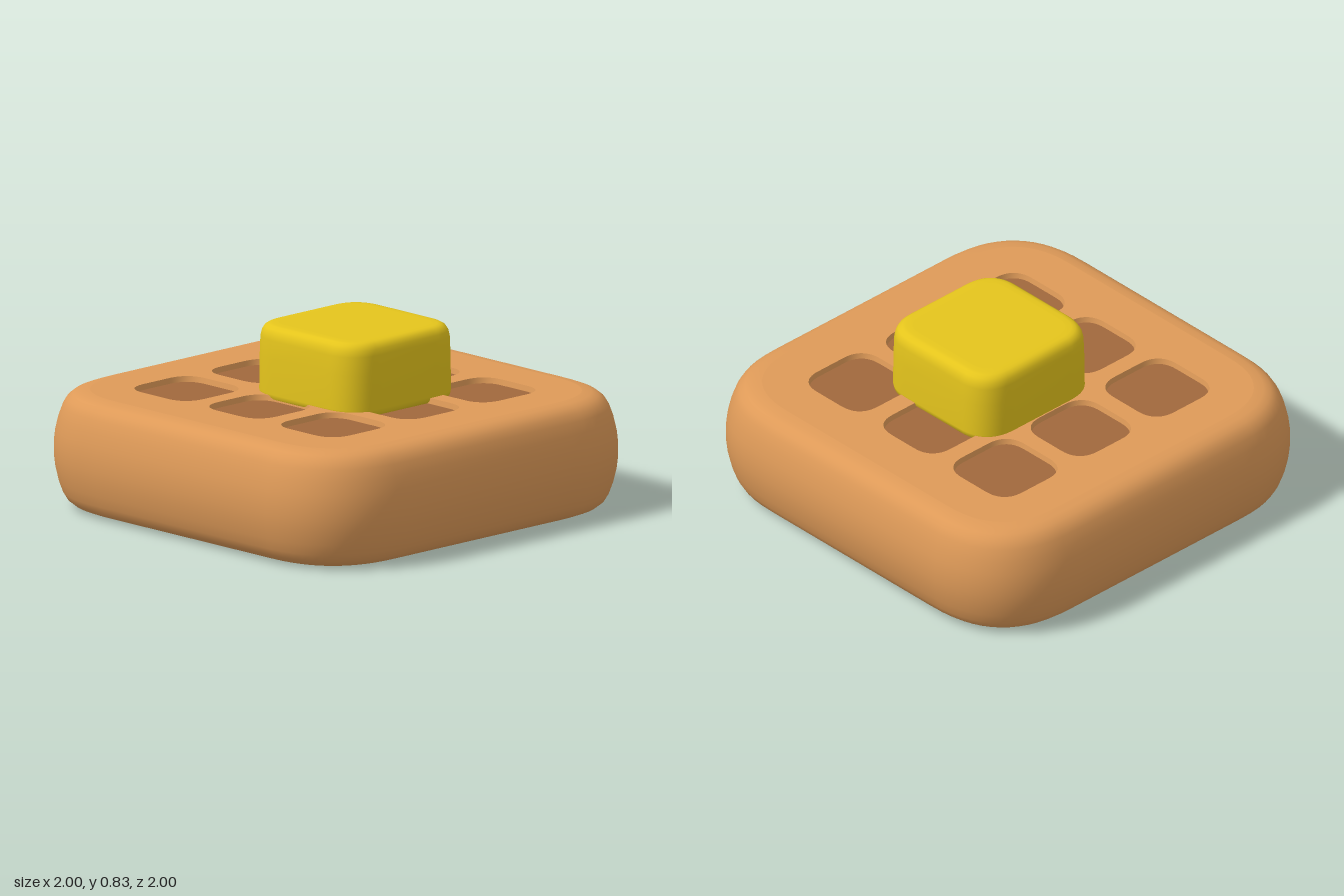
import * as THREE from 'three';

const BOTTOM = 0.008, TOP = 0.535, DEPTH = 0.025;
const mat = (name, color) => Object.assign(new THREE.MeshStandardMaterial({ color }), { name });

// Square outline with soft superellipse corners, counter-clockwise seen from above, in (x, -z)
function outline(half, r, cx = 0, cy = 0, n = 14) {
  const bend = (v) => Math.sign(v) * Math.pow(Math.abs(v), 0.8);
  const pts = [];
  for (let c = 0; c < 4; c++) {
    const sx = c === 0 || c === 3 ? 1 : -1, sy = c < 2 ? 1 : -1;
    for (let i = 0; i <= n; i++) {
      const a = (c + i / n) * Math.PI / 2;
      pts.push(new THREE.Vector2(
        cx + sx * (half - r) + r * bend(Math.cos(a)),
        cy + sy * (half - r) + r * bend(Math.sin(a))));
    }
  }
  return pts;
}

// Skin through rounded-square rings; profile rows are [inset, y]
function loft(half, r, profile, cx = 0, cy = 0) {
  const pos = [], index = [];
  profile.forEach(([inset, y], k) => {
    const ring = outline(half - inset, r - inset, cx, cy);
    const m = ring.length;
    ring.forEach((p, i) => {
      pos.push(p.x, y, -p.y);
      if (k === 0) return;
      const j = (i + 1) % m, lo = (k - 1) * m, hi = k * m;
      index.push(lo + i, lo + j, hi + j, lo + i, hi + j, hi + i);
    });
  });
  const g = new THREE.BufferGeometry();
  g.setAttribute('position', new THREE.Float32BufferAttribute(pos, 3));
  g.setIndex(index);
  g.computeVertexNormals();
  return g;
}

// Flat rounded-square face with optional holes, facing up or down
function face(half, r, cx, cz, y, up, holes = []) {
  const s = up ? -1 : 1;
  const shape = new THREE.Shape(outline(half, r, cx, s * cz));
  for (const h of holes) shape.holes.push(new THREE.Path(outline(h.half, h.r, h.x, s * h.z)));
  return new THREE.ShapeGeometry(shape).rotateX(s * Math.PI / 2).translate(0, y, 0);
}

export function createModel() {
  const model = new THREE.Group();
  const crust = mat('golden crust', 0xde9a58);
  const hollow = mat('toasted brown', 0xa1683c);
  const yellow = mat('butter yellow', 0xe5c51c);
  const add = (name, geometry, material, parent) => {
    const mesh = new THREE.Mesh(geometry, material);
    mesh.name = name;
    parent.add(mesh);
  };

  // Grid of pockets, the middle row and column a little narrower
  const pockets = [];
  for (const x of [-0.46, 0.003, 0.46])
    for (const z of [-0.47, -0.01, 0.457])
      pockets.push({ x, z, half: Math.min(Math.abs(x), Math.abs(z)) < 0.1 ? 0.185 : 0.191, r: 0.12 });

  // Waffle body: bulging side, then the two pierced faces
  const waffle = new THREE.Group();
  waffle.name = 'waffle';
  model.add(waffle);
  const half = [[0.15, 0], [0.11, 0.005], [0.08, 0.017], [0.055, 0.038], [0.037, 0.07], [0.02, 0.12], [0.007, 0.18], [0.001, 0.235]];
  const side = [
    ...half.map(([i, h]) => [i, BOTTOM + h]),
    ...half.map(([i, h]) => [i, TOP - h]).reverse(),
  ];
  add('waffleSide', loft(1, 0.5, side), crust, waffle);
  add('waffleTop', face(0.85, 0.35, 0, 0, TOP, true, pockets), crust, waffle);
  add('waffleBottom', face(0.85, 0.35, 0, 0, BOTTOM, false, pockets), crust, waffle);

  // Shallow pockets on both sides: crust walls and a darker floor
  for (const p of pockets) {
    const hi = TOP - DEPTH, lo = BOTTOM + DEPTH;
    add('topPocketWall', loft(p.half, p.r, [[0, TOP], [0.005, hi]], p.x, -p.z), crust, waffle);
    add('topPocketFloor', face(p.half - 0.005, p.r - 0.005, p.x, p.z, hi, true), hollow, waffle);
    add('bottomPocketWall', loft(p.half, p.r, [[0.005, lo], [0, BOTTOM]], p.x, -p.z), crust, waffle);
    add('bottomPocketFloor', face(p.half - 0.005, p.r - 0.005, p.x, p.z, lo, false), hollow, waffle);
  }

  // Butter pat, a little off centre and resting in the pockets
  const butter = new THREE.Group();
  butter.name = 'butter';
  model.add(butter);
  const cx = 0.057, cz = 0.062, b = 0.5, t = 0.842;
  const pat = [
    [0.05, b], [0.02, b + 0.004], [0.004, b + 0.02], [0, b + 0.04], [0.002, 0.7], [0.005, t - 0.06],
    [0.011, t - 0.033], [0.022, t - 0.014], [0.038, t - 0.004], [0.055, t - 0.001], [0.08, t],
  ];
  add('butterSide', loft(0.342, 0.18, pat, cx, -cz), yellow, butter);
  add('butterTop', face(0.262, 0.1, cx, cz, t, true), yellow, butter);
  add('butterBase', face(0.292, 0.13, cx, cz, b, false), yellow, butter);

  return model;
}
